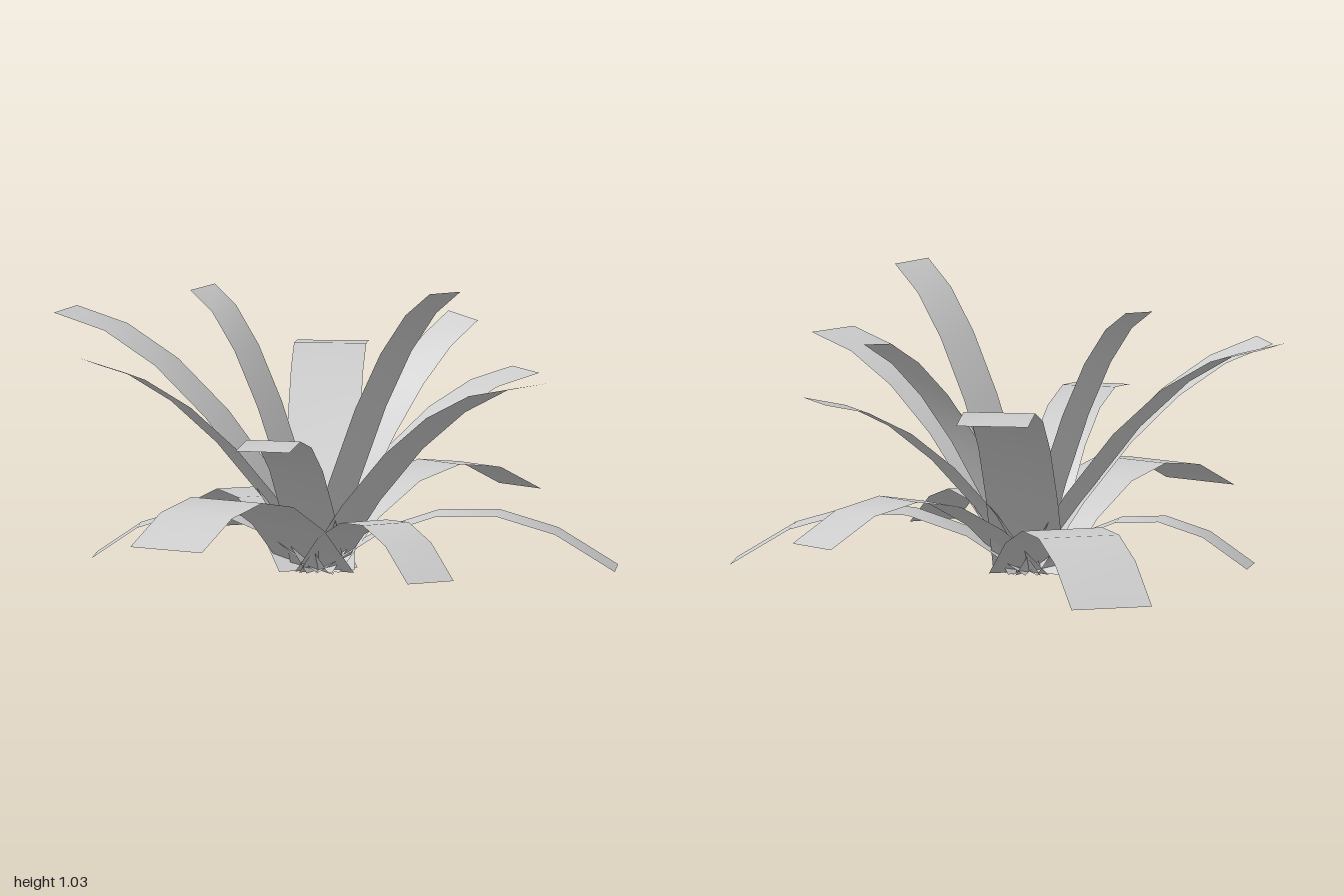
import * as THREE from 'three';

const SEGMENTS = 5;
const CROWN = { x: -0.043, y: 0.01, z: 0 };

// Each leaf: tip x, tip z, tip height, initial rise, width, sideways roll
const LEAVES = [
  // low drooping leaves
  [-0.60, -0.825, 0.03, 0.85, 0.29, 0],
  [0.975, -0.165, 0.025, 0.83, 0.19, 0],
  [0.50, 0.635, 0.07, 0.84, 0.18, 0],
  [-0.815, 0.095, 0.05, 0.76, 0.15, 0],
  // arching leaves
  [0.475, -0.86, 0.20, 1.03, 0.20, 0],
  [-0.365, 0.95, 0.20, 1.03, 0.29, 0],
  [-0.043, 0.865, 0.54, 1.29, 0.19, 0],
  [-0.215, -0.98, 0.67, 1.60, 0.25, 0],
  [0.57, -0.53, 0.655, 1.22, 0.20, 0],
  [0.82, 0.485, 0.745, 1.38, 0.20, 0],
  [-0.745, 0.48, 0.78, 1.36, 0.19, 0],
  [-0.98, -0.18, 0.865, 1.60, 0.20, 0],
  // tall inner leaves, leaning a little to one side
  [0.37, -0.435, 0.85, 1.42, 0.145, 0.14],
  [0.47, 0.28, 1.03, 1.76, 0.15, -0.04],
  [-0.49, -0.16, 0.96, 1.72, 0.13, -0.066],
];

// A flat strip bent along a parabola from the crown to the tip
function makeLeaf([tipX, tipZ, tipY, rise, width, roll], material) {
  const dx = tipX - CROWN.x;
  const dz = tipZ - CROWN.z;
  const height = (tipY - CROWN.y) / Math.cos(roll);
  // the roll carries the tip sideways, so turn the leaf back to meet its place
  const drift = -height * Math.sin(roll);
  const reach = Math.sqrt(dx * dx + dz * dz - drift * drift);

  const geometry = new THREE.PlaneGeometry(width, 1, 1, SEGMENTS);
  geometry.rotateX(-Math.PI / 2);
  const pos = geometry.attributes.position;
  for (let i = 0; i < pos.count; i++) {
    const f = pos.getZ(i) + 0.5;
    pos.setY(i, rise * f - (rise - height) * f * f);
    pos.setZ(i, reach * f);
  }
  geometry.computeVertexNormals();

  const leaf = new THREE.Mesh(geometry, material);
  leaf.position.set(CROWN.x, CROWN.y, CROWN.z);
  leaf.rotation.set(0, Math.atan2(dx, dz) - Math.atan2(drift, reach), roll, 'YXZ');
  return leaf;
}

export function createModel() {
  const group = new THREE.Group();
  group.name = 'plant';
  const material = new THREE.MeshStandardMaterial({ color: 0xcccccc, side: THREE.DoubleSide });
  LEAVES.forEach((spec, i) => {
    const leaf = makeLeaf(spec, material);
    leaf.name = `leaf${i + 1}`;
    group.add(leaf);
  });
  return group;
}
